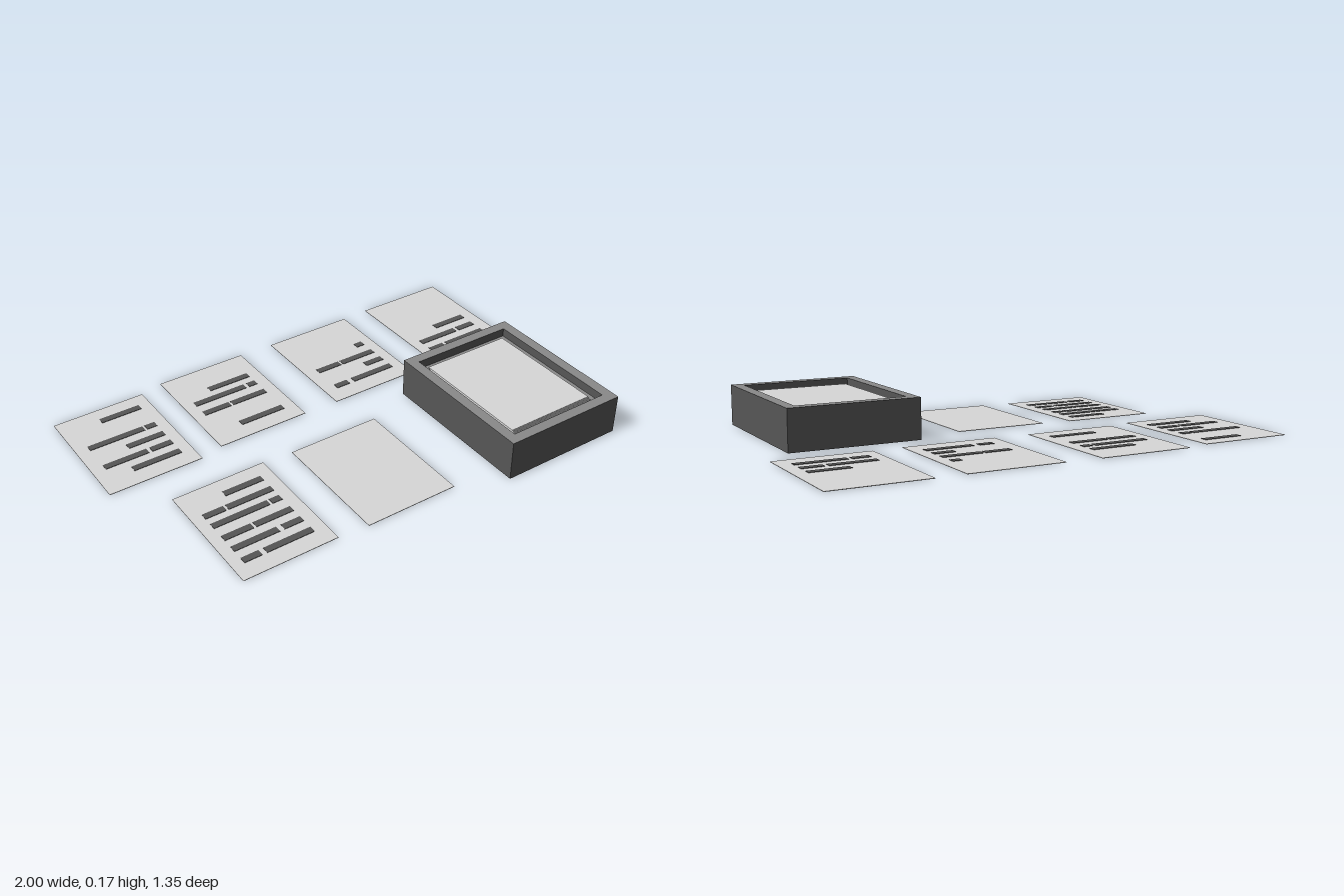
import * as THREE from 'three';

const material = (name, color) => {
  const m = new THREE.MeshStandardMaterial({ color });
  m.name = name;
  return m;
};

export function createModel() {
  const paper = material('paper', 0xd8d8d8);
  const rimGrey = material('rimGrey', 0x8a8a8a);
  const dark = material('darkGrey', 0x565656);
  const model = new THREE.Group();
  model.name = 'paperTrayWithSheets';

  // Box given by its centre in plan, its base height and its size
  function box(name, parent, mat, x, y, z, w, h, d) {
    const mesh = new THREE.Mesh(new THREE.BoxGeometry(w, h, d), mat);
    mesh.position.set(x, y + h / 2, z);
    mesh.name = name;
    parent.add(mesh);
    return mesh;
  }

  const W = 0.405, D = 0.535, T = 0.002;

  // Loose sheets: centre x, centre z, then lines as [z, x0, x1, x0, x1 ...]
  const sheets = [
    { x: -0.7975, z: -0.3875, lines: [
      [-0.575, -0.825, -0.645],
      [-0.43, -0.945, -0.70, -0.69, -0.645],
      [-0.355, -0.81, -0.645],
      [-0.285, -0.945, -0.755, -0.74, -0.645],
      [-0.213, -0.855, -0.645]] },
    { x: -0.2925, z: -0.4125, lines: [
      [-0.525, -0.34, -0.145],
      [-0.458, -0.445, -0.20, -0.185, -0.145],
      [-0.38, -0.445, -0.32, -0.31, -0.145],
      [-0.237, -0.35, -0.145]] },
    { x: 0.2675, z: -0.4075, lines: [
      [-0.453, 0.38, 0.42],
      [-0.375, 0.125, 0.24, 0.25, 0.42],
      [-0.305, 0.33, 0.42],
      [-0.235, 0.125, 0.19, 0.215, 0.42]] },
    { x: 0.7975, z: -0.4125, lines: [
      [-0.38, 0.78, 0.945],
      [-0.307, 0.645, 0.84, 0.855, 0.945],
      [-0.235, 0.645, 0.72, 0.735, 0.945]] },
    { x: -0.6125, z: 0.3075, lines: [
      [0.123, -0.635, -0.465],
      [0.198, -0.765, -0.675, -0.665, -0.465],
      [0.262, -0.765, -0.52, -0.51, -0.465],
      [0.342, -0.765, -0.64, -0.63, -0.465],
      [0.412, -0.765, -0.57, -0.55, -0.465],
      [0.484, -0.765, -0.69, -0.67, -0.465]] },
    { x: -0.0775, z: 0.3175, lines: [] },
  ];
  for (const { x, z, lines } of sheets) {
    const group = new THREE.Group();
    group.name = 'looseSheet';
    model.add(group);
    box('page', group, paper, x, 0, z, W, T, D);
    for (const [lz, ...spans] of lines)
      for (let i = 0; i < spans.length; i += 2)
        box('printedBar', group, dark, (spans[i] + spans[i + 1]) / 2, T, lz,
          spans[i + 1] - spans[i], 0.002, 0.03);
  }

  // Tray: solid base with a grey floor and a raised frame around it
  const tray = new THREE.Group();
  tray.name = 'tray';
  tray.position.set(0.6125, 0, 0.32);
  model.add(tray);
  const floorY = 0.135, topY = 0.172;
  box('trayBase', tray, [dark, dark, rimGrey, dark, dark, dark], 0, 0, 0, 0.555, floorY, 0.7);

  const rect = (path, w, d) => path.moveTo(-w / 2, -d / 2).lineTo(w / 2, -d / 2)
    .lineTo(w / 2, d / 2).lineTo(-w / 2, d / 2).closePath();
  const outline = rect(new THREE.Shape(), 0.555, 0.7);
  outline.holes.push(rect(new THREE.Path(), 0.465, 0.61));
  const frame = new THREE.Mesh(
    new THREE.ExtrudeGeometry(outline, { depth: topY - floorY, bevelEnabled: false }),
    [rimGrey, dark]);
  frame.rotation.x = -Math.PI / 2;
  frame.position.y = floorY;
  frame.name = 'trayFrame';
  tray.add(frame);

  // Slightly fanned stack of sheets resting in the tray
  const count = 6;
  for (let i = 0; i < count; i++) {
    const lower = (count - 1 - i) / (count - 1);
    box('stackedSheet', tray, paper, -0.004 + 0.006 * lower, floorY + i * 0.003,
      -0.005 + 0.012 * lower, W, 0.003, D);
  }
  return model;
}
